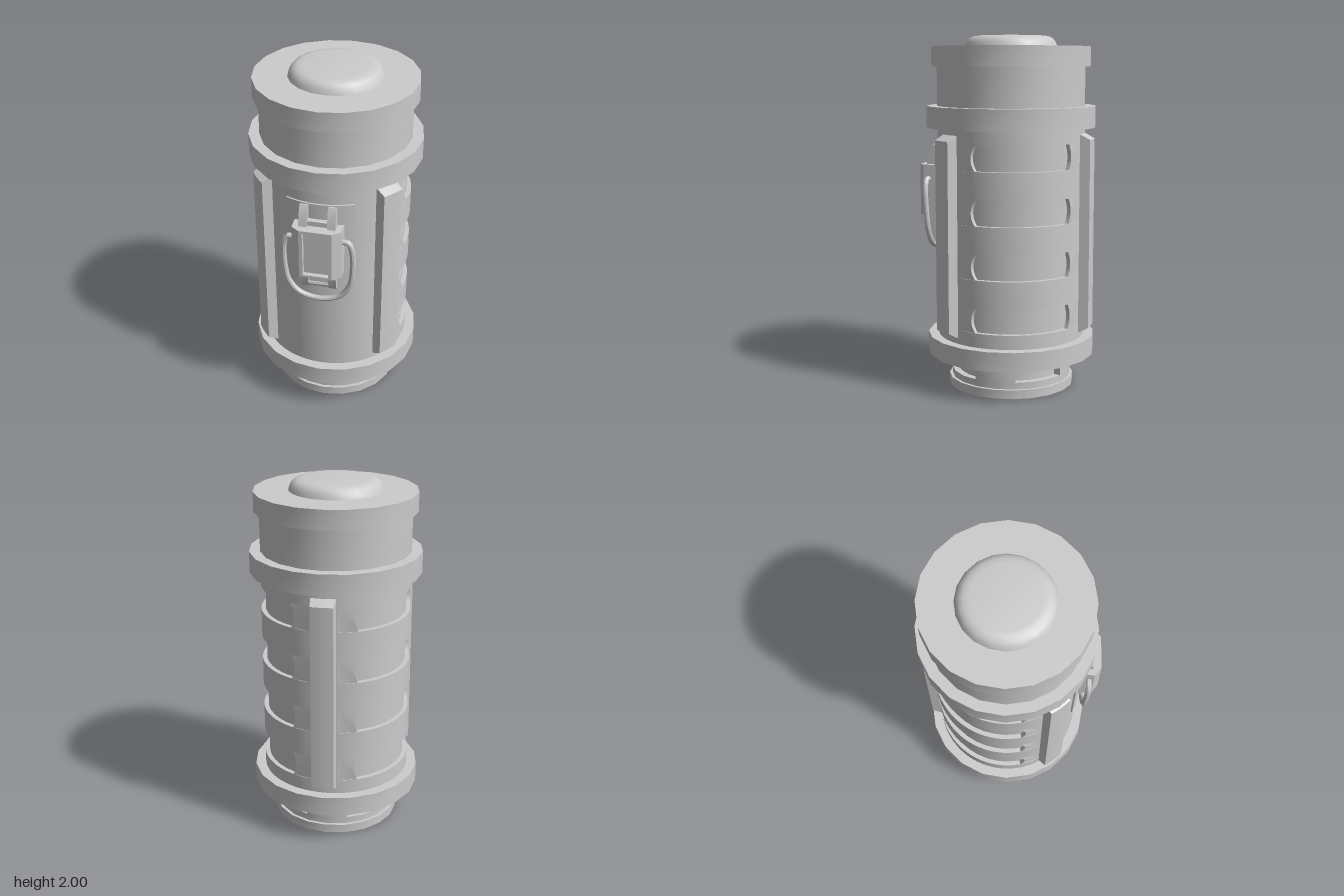
import * as THREE from 'three';
import { toCreasedNormals } from 'three/addons/utils/BufferGeometryUtils.js';

const material = new THREE.MeshStandardMaterial({ color: 0xcccccc });
const rad = THREE.MathUtils.degToRad;

function add(parent, name, geometry) {
  const mesh = new THREE.Mesh(toCreasedNormals(geometry, 0.55), material);
  mesh.name = name;
  parent.add(mesh);
  return mesh;
}

// Upright cylinder between two heights
function drum(r, y0, y1, sides = 20) {
  return new THREE.CylinderGeometry(r, r, y1 - y0, sides).translate(0, (y0 + y1) / 2, 0);
}

// Curved block; angles in degrees run from the front (+z) towards +x
function sector(r0, r1, y0, y1, a0, a1) {
  const p0 = rad(a0 - 90), p1 = rad(a1 - 90);
  const shape = new THREE.Shape();
  shape.absarc(0, 0, r1, p0, p1, false);
  shape.absarc(0, 0, r0, p1, p0, true);
  return new THREE.ExtrudeGeometry(shape, {
    depth: y1 - y0, bevelEnabled: false, curveSegments: Math.max(4, Math.ceil((a1 - a0) / 9)),
  }).rotateX(-Math.PI / 2).translate(0, y0, 0);
}

// Wraps a flat piece (x = angle in radians, z = height above r0) round the axis
function bend(geometry, r0) {
  const p = geometry.attributes.position;
  for (let i = 0; i < p.count; i++) {
    const a = p.getX(i), r = r0 + p.getZ(i);
    p.setXYZ(i, r * Math.sin(a), p.getY(i), r * Math.cos(a));
  }
  geometry.computeVertexNormals();
  return geometry;
}

// Raised rib with sloping sides and ends
function rib(angle) {
  const g = new THREE.BoxGeometry(rad(21), 1.16, 0.085, 6, 1, 1);
  const p = g.attributes.position;
  for (let i = 0; i < p.count; i++) {
    const outer = p.getZ(i) > 0;
    p.setXYZ(i, p.getX(i) * (outer ? 0.72 : 1) + rad(angle),
      0.895 + p.getY(i) * (outer ? 0.92 : 1), p.getZ(i) + 0.0425);
  }
  return bend(g, 0.39);
}

// End of a slot: a short wall whose edge bulges away from the slot
function slotEnd(outerAngle, cornerAngle, midAngle, y0, y1) {
  const s = new THREE.Shape();
  s.moveTo(rad(outerAngle), y0);
  s.lineTo(rad(cornerAngle), y0);
  s.quadraticCurveTo(rad(2 * midAngle - cornerAngle), (y0 + y1) / 2, rad(cornerAngle), y1);
  s.lineTo(rad(outerAngle), y1);
  return bend(new THREE.ExtrudeGeometry(s, { depth: 0.025, bevelEnabled: false, curveSegments: 8 }), 0.395);
}

// Flat plan or profile extruded along an axis
function extrude(points, depth) {
  const s = new THREE.Shape(points.map(([x, y]) => new THREE.Vector2(x, y)));
  return new THREE.ExtrudeGeometry(s, { depth, bevelEnabled: false });
}

function box(x, y0, y1, z0, z1) {
  return new THREE.BoxGeometry(2 * x, y1 - y0, z1 - z0).translate(0, (y0 + y1) / 2, (z0 + z1) / 2);
}

function buildBase(g) {
  add(g, 'foot', drum(0.36, 0, 0.05));
  add(g, 'neckCore', drum(0.305, 0.04, 0.2));
  add(g, 'neckLowerBand', drum(0.343, 0.05, 0.088));
  add(g, 'neckUpperBand', drum(0.343, 0.145, 0.195));
  // posts leave four windows on the diagonals
  for (let i = 0; i < 4; i++) {
    add(g, 'neckPost', sector(0.29, 0.343, 0.085, 0.148, i * 90 - 20, i * 90 + 20));
  }
  add(g, 'lowerRing', drum(0.48, 0.19, 0.3));
}

function buildBody(g) {
  add(g, 'bodyCore', drum(0.395, 0.25, 1.52, 40));
  add(g, 'frontShell', sector(0.38, 0.42, 0.28, 1.5, -62, 62));
  add(g, 'backShell', sector(0.38, 0.42, 0.28, 1.5, 170, 190));
  for (const a of [-52, 52, 180]) add(g, 'rib', rib(a));
  for (const side of [1, -1]) {
    const panel = new THREE.Group();
    panel.name = side > 0 ? 'leftGripPanel' : 'rightGripPanel';
    panel.scale.x = side;
    g.add(panel);
    let y = 0.28;
    for (let i = 0; i < 4; i++) {
      const y0 = 0.38 + i * 0.297, y1 = y0 + 0.14;
      add(panel, 'gripBand', sector(0.38, 0.42, y, y0, 62, 170));
      add(panel, 'slotFrontEnd', slotEnd(62, 78, 74.5, y0, y1));
      // drawn from high to low height so that the outline keeps its direction
      add(panel, 'slotBackEnd', slotEnd(170, 154.5, 157, y1, y0));
      y = y1;
    }
    add(panel, 'gripBand', sector(0.38, 0.42, y, 1.5, 62, 170));
  }
}

function buildTop(g) {
  add(g, 'upperRing', drum(0.48, 1.49, 1.61));
  add(g, 'collar', drum(0.42, 1.6, 1.85, 20));
  add(g, 'cap', drum(0.45, 1.83, 1.94));
  const profile = [[0.24, 1.93], [0.26, 1.94], [0.25, 1.965], [0.235, 1.985], [0.212, 1.996], [0.18, 2], [0, 2]];
  add(g, 'domeButton', new THREE.LatheGeometry(profile.map(([x, y]) => new THREE.Vector2(x, y)), 20));
}

// Latch on the front, in world z
function buildLatch(g) {
  const plate = new THREE.BoxGeometry(0.9, 0.63, 0.035, 10, 1, 1).translate(0, 1.075, 0.0175);
  add(g, 'latchPlate', bend(plate, 0.395)).position.z = -0.02;

  // buckle: chamfered plan with a sunken window
  const outer = [[-0.135, 0.39], [0.135, 0.39], [0.135, 0.465], [0.09, 0.5]];
  const notch = [[0.07, 0.5], [0.07, 0.472], [-0.07, 0.472], [-0.07, 0.5]];
  const rest = [[-0.09, 0.5], [-0.135, 0.465]];
  const slab = (pts, y0, y1) => extrude(pts.map(([x, z]) => [x, -z]).reverse(), y1 - y0)
    .rotateX(-Math.PI / 2).translate(0, y0, 0);
  add(g, 'buckle', slab([...outer, ...notch, ...rest], 0.99, 1.258));
  add(g, 'buckleTopEdge', slab([...outer, ...rest], 1.258, 1.272));
  add(g, 'buckleBottomEdge', slab([...outer, ...rest], 0.978, 0.99));

  // arched straps above and below, as z, y profiles
  const topStrap = [[0.39, 1.25], [0.46, 1.25], [0.452, 1.3], [0.435, 1.36], [0.42, 1.388], [0.405, 1.385], [0.395, 1.34]];
  const lowStrap = [[0.39, 1.0], [0.39, 0.9], [0.405, 0.868], [0.425, 0.868], [0.44, 0.9], [0.45, 1.0]];
  for (const x of [-0.1, 0.055]) {
    for (const [name, pts] of [['topStrap', topStrap], ['lowStrap', lowStrap]]) {
      add(g, name, extrude(pts, 0.045).rotateY(-Math.PI / 2).translate(x + 0.045, 0, 0));
    }
  }
  add(g, 'topHinge', box(0.056, 1.265, 1.3, 0.39, 0.44));
  add(g, 'lowTongue', box(0.056, 0.9, 0.985, 0.39, 0.43));
  add(g, 'lowPin', new THREE.CylinderGeometry(0.022, 0.022, 0.12, 10).rotateZ(Math.PI / 2).translate(0, 0.892, 0.415));

  // wire bail hanging from the buckle sides
  const half = [[0.125, 1.19, 0.435], [0.165, 1.19, 0.435], [0.185, 1.15, 0.435], [0.188, 0.99, 0.428],
    [0.168, 0.89, 0.424], [0.11, 0.817, 0.422]];
  const path = [...half, [0, 0.79, 0.425], ...half.slice().reverse().map(([x, y, z]) => [-x, y, z])];
  const curve = new THREE.CatmullRomCurve3(path.map((p) => new THREE.Vector3(...p)));
  add(g, 'wireBail', new THREE.TubeGeometry(curve, 60, 0.016, 10));
}

export function createModel() {
  const model = new THREE.Group();
  model.name = 'canister';
  const barrel = new THREE.Group();
  barrel.name = 'barrel';
  barrel.position.z = -0.02;
  buildBase(barrel);
  buildBody(barrel);
  buildTop(barrel);
  const latch = new THREE.Group();
  latch.name = 'latch';
  buildLatch(latch);
  model.add(barrel, latch);
  return model;
}
